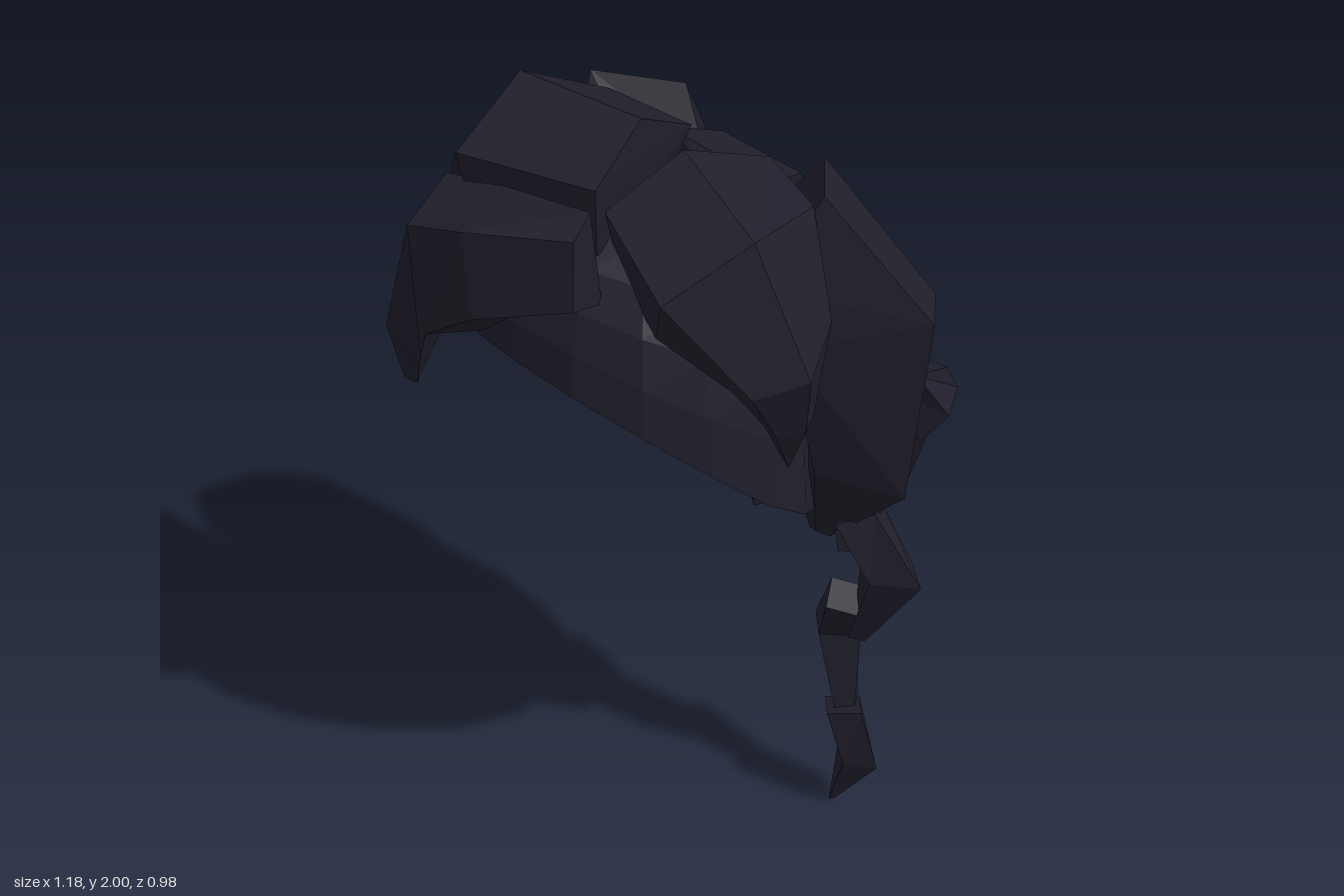
import * as THREE from 'three';

const material = new THREE.MeshStandardMaterial({ color: 0x1f1e2a, flatShading: true, side: THREE.DoubleSide });

// Faceted mesh from a list of [a, b, c] triangles of [x, y, z] points
function facets(name, triangles) {
  const geometry = new THREE.BufferGeometry();
  geometry.setAttribute('position', new THREE.Float32BufferAttribute(triangles.flat(2), 3));
  geometry.computeVertexNormals();
  const mesh = new THREE.Mesh(geometry, material);
  mesh.name = name;
  return mesh;
}

// Lock of hair: a closed loft through rings of corners; a ring of one point is a tip
function lock(name, rings) {
  const n = Math.max(...rings.map((r) => r.length));
  const full = rings.map((r) => (r.length === 1 ? Array(n).fill(r[0]) : r));
  let tris = [];
  for (let i = 0; i < full.length - 1; i++) {
    for (let j = 0; j < n; j++) {
      const k = (j + 1) % n;
      const a = full[i][j], b = full[i][k], c = full[i + 1][k], d = full[i + 1][j];
      tris.push([a, b, c], [a, c, d]);
    }
  }
  const first = full[0], last = full[full.length - 1];
  for (let j = 1; j < n - 1; j++) {
    tris.push([first[0], first[j + 1], first[j]], [last[0], last[j], last[j + 1]]);
  }
  tris = tris.filter(([a, b, c]) => a !== b && b !== c && a !== c);
  // Turn all faces outward
  const v = (p) => new THREE.Vector3(...p).sub(new THREE.Vector3(...first[0]));
  const volume = tris.reduce((s, [a, b, c]) => s + v(a).dot(v(b).cross(v(c))), 0);
  if (volume < 0) tris = tris.map(([a, b, c]) => [a, c, b]);
  return facets(name, tris);
}

// Open cap whose rim slopes from the forehead down to the nape
function cap() {
  const around = 16, down = 6, rows = [];
  for (let i = 0; i <= down; i++) {
    const t = (i / down) * Math.PI / 2, r = Math.sin(t) ** 0.8;
    const row = [];
    for (let j = 0; j < around; j++) {
      const a = (j / around) * Math.PI * 2;
      const z = 0.37 * Math.sin(a), rim = 1.15 + (z > 0 ? 0.87 : 0.75) * z;
      row.push([0.43 * r * Math.cos(a), rim + (1.82 - rim) * Math.cos(t), z * r]);
    }
    rows.push(row);
  }
  const tris = [];
  for (let i = 0; i < down; i++) {
    for (let j = 0; j < around; j++) {
      const k = (j + 1) % around;
      const a = rows[i][j], b = rows[i][k], c = rows[i + 1][k], d = rows[i + 1][j];
      if (i > 0) tris.push([a, b, c]);
      tris.push([a, c, d]);
    }
  }
  return facets('cap', tris);
}

// Diamond ring of a braid segment, from its edge points in x and y and its back and front z
function strand([x0, y0, x1, y1, z0, z1]) {
  const x = (x0 + x1) / 2, y = (y0 + y1) / 2, z = (z0 + z1) / 2;
  return [[x0, y0, z], [x, y, z0], [x1, y1, z], [x, y, z1]];
}

export function createModel() {
  const group = new THREE.Group();
  group.name = 'braidedHair';
  group.add(cap());

  // Wide locks at both back corners, with a ridge on the inside
  const side = [
    [[0.39, 1.85, -0.16], [0.23, 1.83, -0.31], [0.12, 1.68, -0.28], [0.2, 1.66, -0.15], [0.33, 1.65, -0.04]],
    [[0.59, 1.57, -0.31], [0.46, 1.54, -0.445], [0.19, 1.52, -0.43], [0.22, 1.5, -0.22], [0.38, 1.5, -0.08]],
    [[0.55, 1.1, -0.3], [0.43, 1.08, -0.44], [0.17, 1.1, -0.41], [0.24, 1.12, -0.22], [0.39, 1.14, -0.17]],
    [[0.29, 0.83, -0.33], [0.26, 0.81, -0.37], [0.22, 0.82, -0.36], [0.23, 0.83, -0.32], [0.26, 0.84, -0.31]],
  ];
  for (const s of [1, -1]) {
    group.add(lock(s > 0 ? 'leftBackLock' : 'rightBackLock',
      side.map((ring) => ring.map(([x, y, z]) => [s * x, y, z]))));
  }

  // Middle back lock, also ridged inside
  group.add(lock('middleBackLock', [
    [[-0.17, 1.78, -0.2], [0, 1.76, -0.17], [0.18, 1.78, -0.2], [0.16, 1.76, -0.31], [-0.1, 1.76, -0.31]],
    [[-0.2, 1.55, -0.35], [0.02, 1.5, -0.25], [0.2, 1.55, -0.35], [0.12, 1.51, -0.49], [-0.11, 1.51, -0.49]],
    [[-0.16, 1.1, -0.36], [0.04, 1.12, -0.26], [0.16, 1.1, -0.36], [0.1, 1.08, -0.48], [-0.1, 1.08, -0.48]],
    [[-0.01, 0.77, -0.36], [0.02, 0.77, -0.33], [0.03, 0.77, -0.36], [0.02, 0.77, -0.39], [0, 0.77, -0.39]],
  ]));

  // Crown lock falling to the right side
  group.add(lock('crownLock', [
    [[0.01, 1.88, -0.12], [0.07, 1.98, 0.07], [0.14, 1.9, 0.25], [0.13, 1.74, 0.24], [0, 1.74, -0.05]],
    [[-0.21, 1.9, -0.07], [-0.24, 2, 0.15], [-0.18, 1.9, 0.37], [-0.17, 1.74, 0.34], [-0.2, 1.74, 0]],
    [[-0.4, 1.82, -0.04], [-0.5, 1.66, 0.1], [-0.44, 1.64, 0.23], [-0.35, 1.58, 0.2], [-0.33, 1.58, 0]],
    [[-0.46, 1.42, 0], [-0.5, 1.43, 0.1], [-0.45, 1.43, 0.19], [-0.39, 1.42, 0.17], [-0.39, 1.42, 0.02]],
    [[-0.43, 1.26, 0.07]],
  ]));

  // Crown lock falling to the left side
  group.add(lock('leftCrownLock', [
    [[0.2, 1.86, -0.18], [0.16, 1.93, 0.03], [0.12, 1.83, 0.21], [0.13, 1.68, 0.18], [0.18, 1.7, -0.1]],
    [[0.38, 1.83, -0.14], [0.43, 1.84, 0.07], [0.36, 1.73, 0.26], [0.31, 1.62, 0.23], [0.32, 1.65, -0.08]],
    [[0.47, 1.6, -0.12], [0.54, 1.53, 0], [0.48, 1.5, 0.11], [0.41, 1.48, 0.1], [0.4, 1.5, -0.1]],
    [[0.45, 1.36, -0.1], [0.49, 1.36, -0.04], [0.46, 1.36, 0.02], [0.41, 1.36, 0.01], [0.41, 1.36, -0.09]],
    [[0.42, 1.22, -0.06]],
  ]));

  // Fringe swept across the forehead
  group.add(lock('fringe', [
    [[0.16, 1.87, 0.28], [0.18, 1.83, 0.34], [0.2, 1.68, 0.36], [0.17, 1.65, 0.26]],
    [[-0.06, 1.85, 0.32], [-0.03, 1.81, 0.47], [-0.02, 1.6, 0.46], [-0.01, 1.56, 0.3]],
    [[-0.23, 1.83, 0.36], [-0.2, 1.76, 0.49], [-0.17, 1.5, 0.48], [-0.15, 1.46, 0.33]],
    [[-0.37, 1.52, 0.41], [-0.31, 1.46, 0.49], [-0.24, 1.4, 0.45], [-0.29, 1.43, 0.34]],
    [[-0.37, 1.28, 0.41], [-0.34, 1.28, 0.43], [-0.32, 1.27, 0.41], [-0.34, 1.27, 0.39]],
  ]));

  // Knot tying the braid to the head
  group.add(lock('knot', [
    [[0.38, 1.34, -0.36], [0.5, 1.38, -0.36], [0.5, 1.36, -0.46], [0.38, 1.34, -0.46]],
    [[0.36, 1.3, -0.36], [0.58, 1.3, -0.39], [0.51, 1.3, -0.49], [0.36, 1.3, -0.49]],
    [[0.38, 1.2, -0.36], [0.53, 1.22, -0.36], [0.48, 1.21, -0.46], [0.38, 1.2, -0.46]],
  ]));

  // Zigzag braid; each row is x0, y0, x1, y1, back z, front z
  const braid = [
    [[0.42, 1.22, 0.5, 1.2, -0.46, -0.37], [0.31, 1.12, 0.45, 1.04, -0.48, -0.34], [0.28, 1, 0.38, 0.9, -0.44, -0.32]],
    [[0.21, 1.07, 0.35, 1.08, -0.48, -0.34], [0.21, 0.98, 0.39, 0.95, -0.46, -0.31], [0.3, 0.82, 0.36, 0.81, -0.39, -0.32]],
    [[0.3, 0.9, 0.41, 0.95, -0.43, -0.28], [0.34, 0.77, 0.54, 0.79, -0.46, -0.32], [0.35, 0.59, 0.39, 0.55, -0.41, -0.33]],
    [[0.29, 0.7, 0.39, 0.64, -0.41, -0.28], [0.2, 0.52, 0.36, 0.54, -0.45, -0.32], [0.31, 0.32, 0.37, 0.33, -0.41, -0.33]],
    [[0.28, 0.31, 0.41, 0.34, -0.41, -0.3], [0.31, 0.16, 0.45, 0.17, -0.43, -0.33], [0.32, 0, 0.34, 0.01, -0.36, -0.34]],
  ];
  braid.forEach((rows, i) => group.add(lock(`braidSegment${i + 1}`, rows.map(strand))));

  return group;
}
